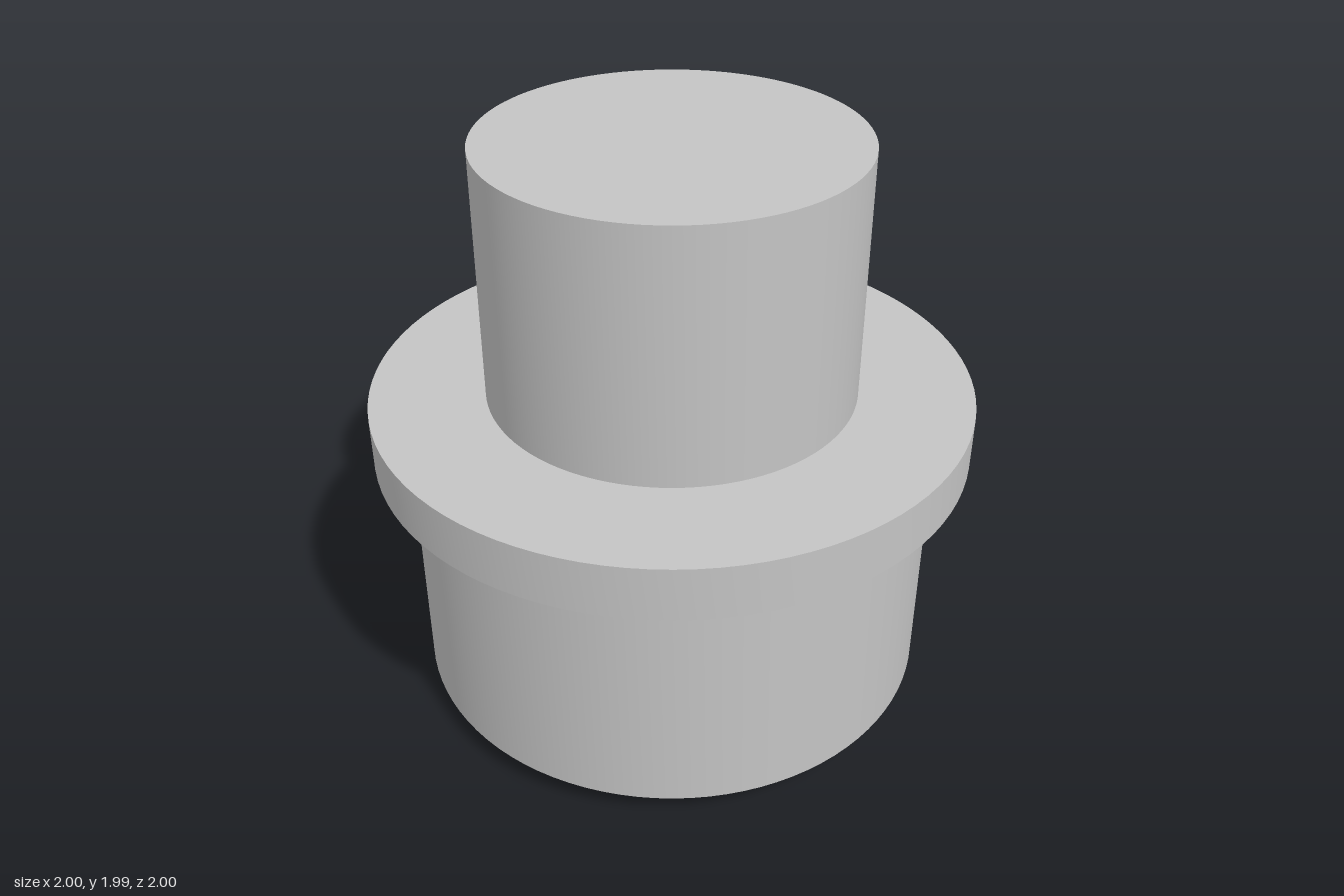
import * as THREE from 'three';
import { toCreasedNormals } from 'three/addons/utils/BufferGeometryUtils.js';

const BASE_R = 0.79, HOLE_R = 0.1, HOLE_X = 0.156, HOLE_DEPTH = 0.06;

// Surface of revolution with sharp edges between profile segments
function turned(points, segments) {
  const profile = points.map(([r, y]) => new THREE.Vector2(r, y));
  return toCreasedNormals(new THREE.LatheGeometry(profile, segments), Math.PI / 6);
}

export function createModel() {
  const group = new THREE.Group();
  const grey = new THREE.MeshStandardMaterial({ color: 0xc4c4c4 });
  grey.name = 'light grey';

  const add = (name, geometry, x = 0) => {
    const mesh = new THREE.Mesh(geometry, grey);
    mesh.name = name;
    mesh.position.x = x;
    group.add(mesh);
  };

  // Stepped plug: chamfered body, flange and post
  add('body', turned([[BASE_R, 0], [0.882, 0.098], [0.882, 0.952]], 96));
  add('flange', turned([[0.882, 0.952], [1, 0.952], [1, 1.135], [0.618, 1.135]], 96));
  add('post', turned([[0.618, 1.135], [0.618, 1.986], [0, 1.986]], 96));

  // Underside with two round openings
  const disc = new THREE.Shape().absarc(0, 0, BASE_R, 0, Math.PI * 2);
  for (const side of [-1, 1]) {
    disc.holes.push(new THREE.Path().absarc(side * HOLE_X, 0, HOLE_R, 0, Math.PI * 2, true));
  }
  add('underside', new THREE.ShapeGeometry(disc, 48).rotateX(Math.PI / 2));

  // Shallow blind holes
  for (const side of [-1, 1]) {
    add(side < 0 ? 'rightHole' : 'leftHole',
      turned([[0, HOLE_DEPTH], [HOLE_R, HOLE_DEPTH], [HOLE_R, 0]], 48), side * HOLE_X);
  }

  return group;
}
